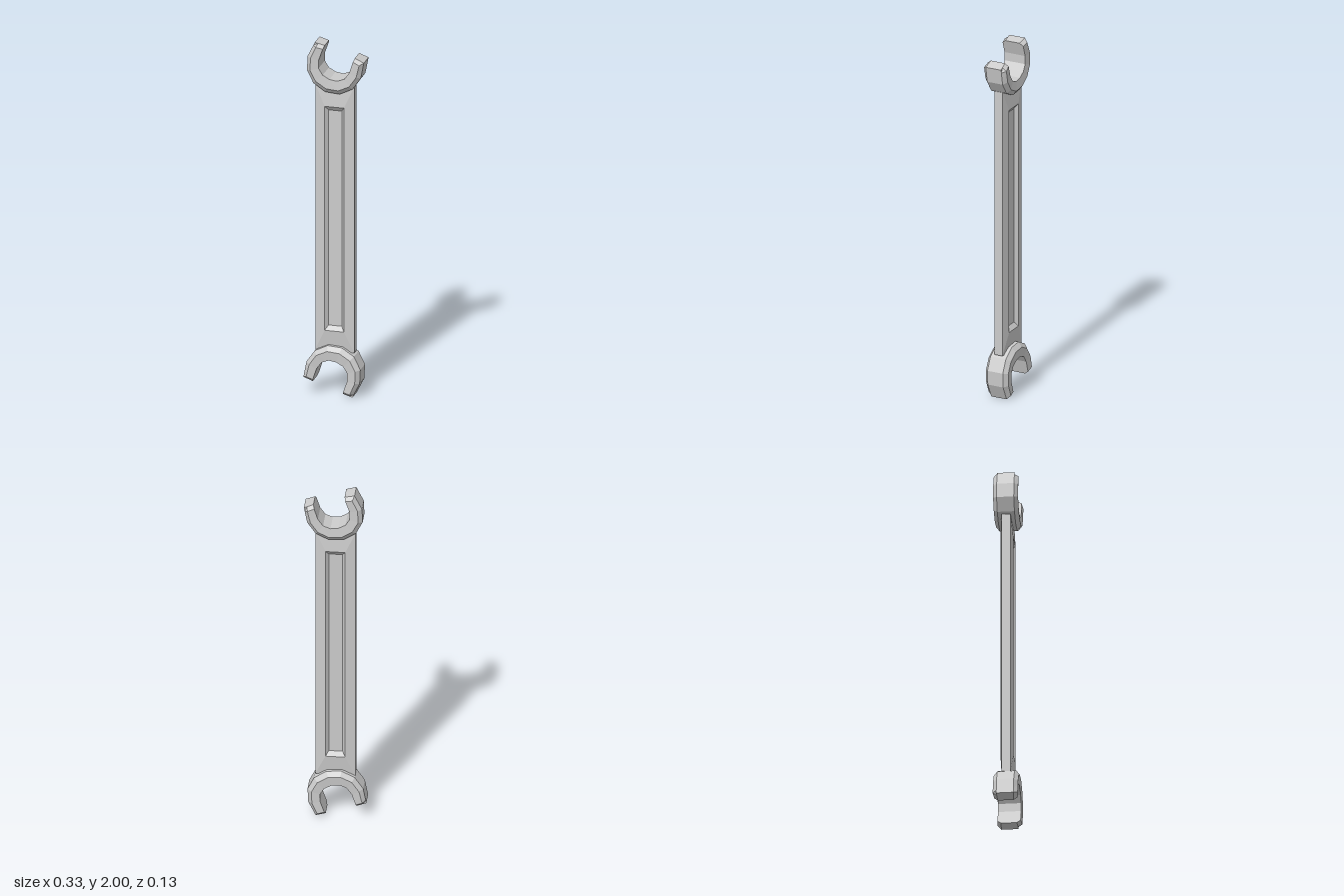
import * as THREE from 'three';

// Skin a row of closed cross-sections and cap both ends.
function loft(rings) {
  const n = rings[0].length;
  const out = [];
  const tri = (a, b, c) => out.push(...a, ...b, ...c);
  for (let r = 0; r < rings.length - 1; r++) {
    const a = rings[r], b = rings[r + 1];
    for (let i = 0; i < n; i++) {
      const j = (i + 1) % n;
      tri(a[i], a[j], b[j]);
      tri(a[i], b[j], b[i]);
    }
  }
  const first = rings[0], last = rings[rings.length - 1];
  for (let i = 1; i < n - 1; i++) {
    tri(first[0], first[i + 1], first[i]);
    tri(last[0], last[i], last[i + 1]);
  }
  const geometry = new THREE.BufferGeometry();
  geometry.setAttribute('position', new THREE.Float32BufferAttribute(out, 3));
  geometry.computeVertexNormals();
  return geometry;
}

const lerp = (a, b, t) => a.map((v, i) => v + (b[i] - v) * t);

// Open jaw: a C-shaped ring with bevelled edges, opening towards local +y.
function jawGeometry() {
  // right half, bottom to tip: outer point, inner point
  const half = [
    [[0, -0.153], [0, -0.07]],
    [[0.077, -0.133], [0.042, -0.062]],
    [[0.133, -0.077], [0.075, -0.035]],
    [[0.155, 0], [0.089, 0.01]],
  ];
  const tip = [[0.143, 0.09], [0.088, 0.094]];
  half.push(tip.map((p, i) => lerp(p, half[3][i], 0.2)), tip);

  const mirror = ([o, i]) => [[-o[0], o[1]], [-i[0], i[1]]];
  const stations = [...half.slice(1).reverse().map(mirror), ...half];
  const rings = stations.map(([o, i], k) => {
    const isTip = k === 0 || k === stations.length - 1;
    const m = lerp(o, i, 0.33);
    const [zi, zm, zo] = isTip ? [0.042, 0.045, 0.046] : [0.062, 0.067, 0.046];
    return [[...i, zi], [...m, zm], [...o, zo], [...o, -zo], [...m, -zm], [...i, -zi]];
  });
  return loft(rings);
}

// Flat bar with a long bevelled recess on both faces.
function handleGeometry() {
  const rect = (x, y, z) => [[-x, -y, z], [x, -y, z], [x, y, z], [-x, y, z]];
  return loft([
    rect(0.037, 0.612, -0.016),
    rect(0.053, 0.637, -0.035),
    rect(0.108, 0.755, -0.024),
    rect(0.108, 0.755, 0.024),
    rect(0.053, 0.637, 0.035),
    rect(0.037, 0.612, 0.016),
  ]);
}

export function createModel() {
  const model = new THREE.Group();
  model.name = 'openEndedWrench';
  const material = new THREE.MeshStandardMaterial({ color: 0xcccccc, flatShading: true });

  const handle = new THREE.Mesh(handleGeometry(), material);
  handle.name = 'handle';
  handle.position.y = 1;
  model.add(handle);

  // The two jaws are the same part turned half a revolution.
  const jaw = jawGeometry();
  const tilt = -0.323;
  for (const [name, side] of [['upperJaw', 1], ['lowerJaw', -1]]) {
    const mesh = new THREE.Mesh(jaw, material);
    mesh.name = name;
    mesh.position.set(0.003 * side, 1 + 0.869 * side, 0);
    mesh.rotation.z = tilt + (side < 0 ? Math.PI : 0);
    model.add(mesh);
  }
  return model;
}
